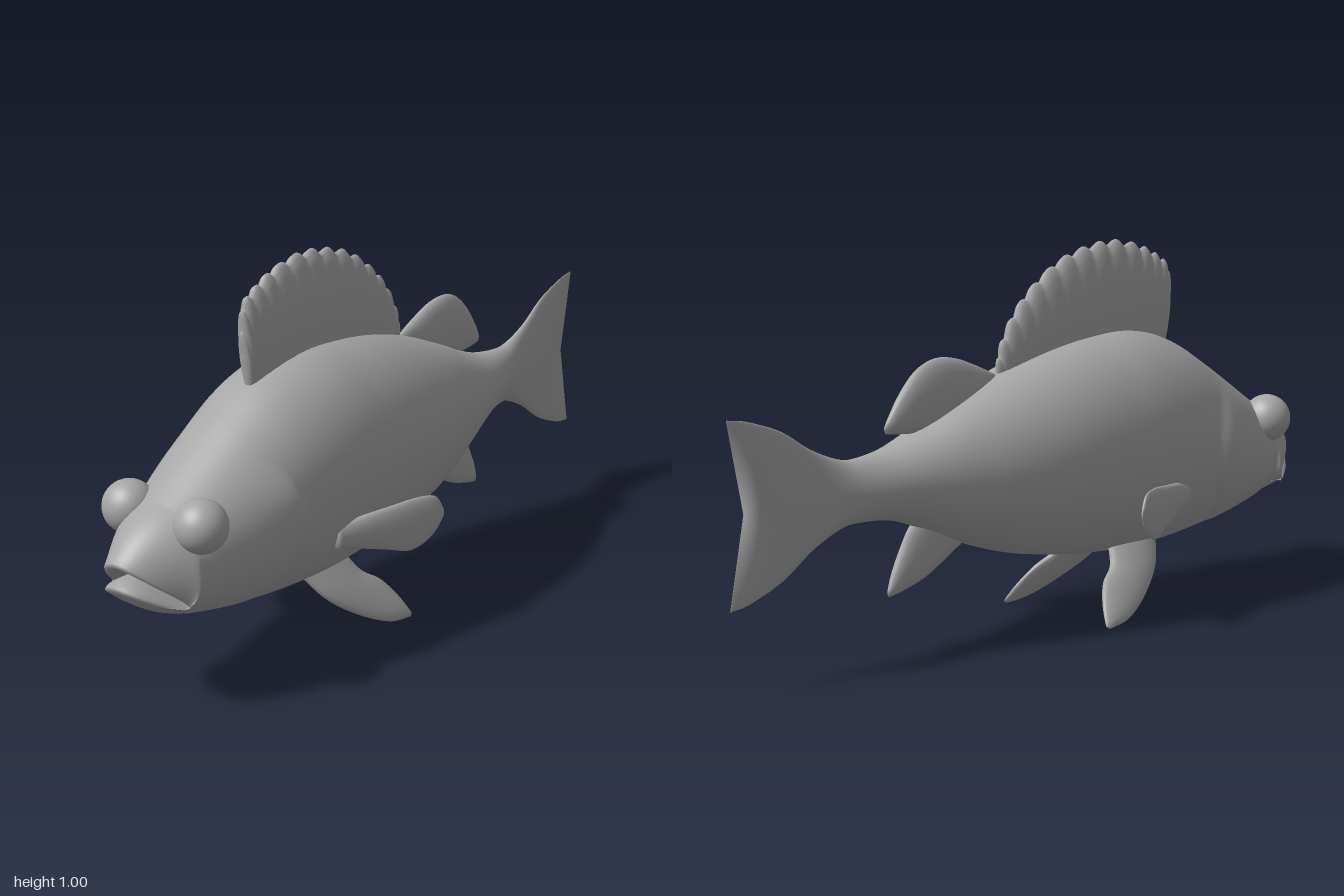
import * as THREE from 'three';

const skin = new THREE.MeshStandardMaterial({ color: 0xa6a6a6 });
skin.name = 'grey';

// Closed smooth skin over a list of rings, with a centre point capping each end
function loft(name, rings) {
  const n = rings[0].length, pos = [], idx = [];
  rings.forEach(r => r.forEach(p => pos.push(p.x, p.y, p.z)));
  for (let i = 0; i < rings.length - 1; i++) {
    for (let j = 0; j < n; j++) {
      const a = i * n + j, b = i * n + (j + 1) % n;
      idx.push(a, b, a + n, b, b + n, a + n);
    }
  }
  [0, rings.length - 1].forEach((k, end) => {
    const c = new THREE.Vector3();
    rings[k].forEach(p => c.addScaledVector(p, 1 / n));
    const ci = pos.length / 3;
    pos.push(c.x, c.y, c.z);
    for (let j = 0; j < n; j++) {
      const a = k * n + j, b = k * n + (j + 1) % n;
      if (end) idx.push(a, b, ci); else idx.push(b, a, ci);
    }
  });
  // Turn the faces outward if the signed volume is negative
  const at = i => new THREE.Vector3().fromArray(pos, i * 3);
  let volume = 0;
  for (let i = 0; i < idx.length; i += 3) volume += at(idx[i]).dot(at(idx[i + 1]).cross(at(idx[i + 2])));
  if (volume < 0) idx.reverse();
  const g = new THREE.BufferGeometry();
  g.setAttribute('position', new THREE.Float32BufferAttribute(pos, 3));
  g.setIndex(idx);
  g.computeVertexNormals();
  const mesh = new THREE.Mesh(g, skin);
  mesh.name = name;
  return mesh;
}

const SEG = 64;
const makeRing = fn => Array.from({ length: SEG }, (_, j) => {
  const a = j / SEG * Math.PI * 2;
  return fn(Math.sin(a), Math.cos(a));
});

// Body stations from tail to head: z, top, bottom, half width, sweep of the tips
const STATIONS = [
  [-0.905, 0.665, 0.205, 0.006, 0.09], [-0.87, 0.655, 0.215, 0.012, 0.065], [-0.8, 0.62, 0.255, 0.017, 0.035],
  [-0.73, 0.565, 0.315, 0.022, 0.015], [-0.66, 0.53, 0.355, 0.035, 0], [-0.6, 0.525, 0.363, 0.05, 0],
  [-0.5, 0.54, 0.355, 0.08, 0], [-0.4, 0.575, 0.32, 0.11, 0], [-0.3, 0.62, 0.277, 0.14, 0],
  [-0.2, 0.66, 0.24, 0.17, 0], [-0.1, 0.695, 0.21, 0.193, 0], [0, 0.725, 0.19, 0.209, 0],
  [0.1, 0.747, 0.175, 0.218, 0], [0.2, 0.76, 0.165, 0.222, 0], [0.3, 0.765, 0.16, 0.222, 0],
  [0.4, 0.752, 0.161, 0.216, 0], [0.5, 0.72, 0.168, 0.204, 0], [0.6, 0.665, 0.18, 0.188, 0],
  [0.7, 0.603, 0.195, 0.17, 0], [0.8, 0.54, 0.217, 0.147, 0], [0.85, 0.51, 0.235, 0.134, 0],
];

function body() {
  const rings = [], step = THREE.MathUtils.smoothstep, last = STATIONS.length - 1, SUB = 8;
  const curve = new THREE.CubicInterpolant(STATIONS.map((_, i) => i), STATIONS.flat(), 5, new Float32Array(5));
  for (let i = 0; i <= last * SUB; i++) {
    const [z, top, bot, w, sweep] = Array.from(curve.evaluate(i / SUB));
    rings.push(makeRing((s, c) => {
      const y = (top + bot) / 2 + (top - bot) / 2 * c;
      // Raised rear edge of the gill cover
      const edge = 0.53 + 2.5 * (y - 0.4) ** 2;
      const gill = step(z, edge - 0.006, edge + 0.01) * (1 - step(z, 0.58, 0.78)) * (1 - step(y, 0.48, 0.6));
      return new THREE.Vector3(w * s * (1 + 0.07 * gill), y, z - sweep * c * c);
    }));
  }
  // Snout narrowing into an arched mouth
  const mouth = (half, back, width) => makeRing((s, c) => new THREE.Vector3(
    width * s, 0.372 + half * c - 0.085 * s * s, 1 - back - 0.12 * Math.abs(s) ** 2.4));
  const base = rings[rings.length - 1], lips = mouth(0.036, 0, 0.118);
  for (let i = 1; i <= 10; i++) {
    const t = i / 10, bulge = 0.012 * Math.sin(Math.PI * t);
    rings.push(base.map((p, j) => {
      const a = j / SEG * Math.PI * 2;
      const q = p.clone().lerp(lips[j], t);
      q.x += bulge * Math.sin(a);
      q.y += bulge * Math.cos(a);
      return q;
    }));
  }
  // Rounded lips and the cavity behind them
  rings.push(mouth(0.026, 0, 0.115), mouth(0.018, 0.01, 0.112), mouth(0.014, 0.03, 0.106), mouth(0.01, 0.09, 0.08));
  return loft('body', rings);
}

// Lens-section fin between two [z, y] edges; place() puts them in space
const roundEnds = t => Math.sin(Math.PI * t) ** 0.6;
const taperTip = t => Math.max(0, Math.cos(Math.PI / 2 * t)) ** 0.6;
function fin(name, edgeA, edgeB, thick, profile, place = (z, y) => new THREE.Vector3(0, y, z),
  normal = new THREE.Vector3(1, 0, 0), scallops = 0) {
  const spline = e => new THREE.CatmullRomCurve3(e.map(([z, y]) => place(z, y)));
  const A = spline(edgeA), B = spline(edgeB), rings = [], n = scallops ? scallops * 8 : 28;
  for (let i = 0; i <= n; i++) {
    const t = i / n, a = A.getPoint(t), b = B.getPoint(t);
    if (scallops) {
      const out = a.clone().sub(b).normalize();
      a.addScaledVector(out, 0.016 * (Math.abs(Math.sin(Math.PI * scallops * t)) - 0.6));
    }
    const mid = a.clone().add(b).multiplyScalar(0.5), half = a.clone().sub(b).multiplyScalar(0.5);
    const T = 0.002 + thick * profile(t);
    rings.push(Array.from({ length: 20 }, (_, j) => {
      const r = j / 20 * Math.PI * 2;
      return mid.clone().addScaledVector(half, Math.cos(r)).addScaledVector(normal, T * Math.sin(r));
    }));
  }
  return loft(name, rings);
}

export function createModel() {
  const fish = new THREE.Group();
  fish.name = 'fish';
  fish.add(body());

  // Fins on the centre line
  fish.add(fin('frontDorsalFin',
    [[0.515, 0.74], [0.528, 0.84], [0.52, 0.92], [0.47, 0.955], [0.4, 0.983], [0.3, 1], [0.2, 0.99], [0.1, 0.96],
      [0.01, 0.905], [-0.06, 0.84], [-0.11, 0.76], [-0.13, 0.69]],
    [[0.505, 0.69], [0.49, 0.68], [0.46, 0.67], [0.41, 0.66], [0.35, 0.65], [0.28, 0.64], [0.2, 0.63], [0.13, 0.63],
      [0.06, 0.63], [-0.01, 0.63], [-0.07, 0.64], [-0.12, 0.66]],
    0.034, roundEnds, undefined, undefined, 17));
  fish.add(fin('rearDorsalFin',
    [[-0.12, 0.68], [-0.2, 0.715], [-0.27, 0.74], [-0.34, 0.747], [-0.4, 0.725], [-0.46, 0.665], [-0.51, 0.59]],
    [[-0.13, 0.66], [-0.18, 0.62], [-0.24, 0.58], [-0.3, 0.56], [-0.36, 0.56], [-0.43, 0.565], [-0.505, 0.572]],
    0.028, roundEnds));
  fish.add(fin('analFin',
    [[-0.18, 0.3], [-0.28, 0.245], [-0.38, 0.19], [-0.45, 0.168], [-0.5, 0.157]],
    [[-0.38, 0.37], [-0.43, 0.325], [-0.46, 0.275], [-0.485, 0.225], [-0.505, 0.17]],
    0.026, taperTip));

  for (const side of [1, -1]) {
    const tag = side > 0 ? 'left' : 'right';

    const eye = new THREE.Mesh(new THREE.SphereGeometry(0.067, 32, 24), skin);
    eye.name = tag + 'Eye';
    eye.position.set(side * 0.112, 0.473, 0.825);
    fish.add(eye);

    // Pelvic fins splay down and outward
    fish.add(fin(tag + 'PelvicFin',
      [[0.4, 0.19], [0.35, 0.12], [0.26, 0.055], [0.17, 0.015], [0.095, 0.004]],
      [[0.22, 0.2], [0.19, 0.145], [0.14, 0.11], [0.105, 0.06], [0.085, 0.012]],
      0.02, taperTip,
      (z, y) => new THREE.Vector3(side * (0.09 + (0.17 - y) * 0.66), y, z),
      new THREE.Vector3(side * 0.83, 0.55, 0)));

    // Pectoral fins sweep back from the flanks
    fish.add(fin(tag + 'PectoralFin',
      [[0.4, 0.355], [0.33, 0.365], [0.25, 0.374], [0.17, 0.381], [0.125, 0.373], [0.102, 0.335]],
      [[0.4, 0.295], [0.33, 0.277], [0.26, 0.258], [0.19, 0.241], [0.135, 0.268], [0.102, 0.315]],
      0.016, taperTip,
      (z, y) => new THREE.Vector3(side * (0.2 + (0.36 - z) * 0.41), y, z),
      new THREE.Vector3(side * 0.92, 0, 0.38)));
  }
  return fish;
}
